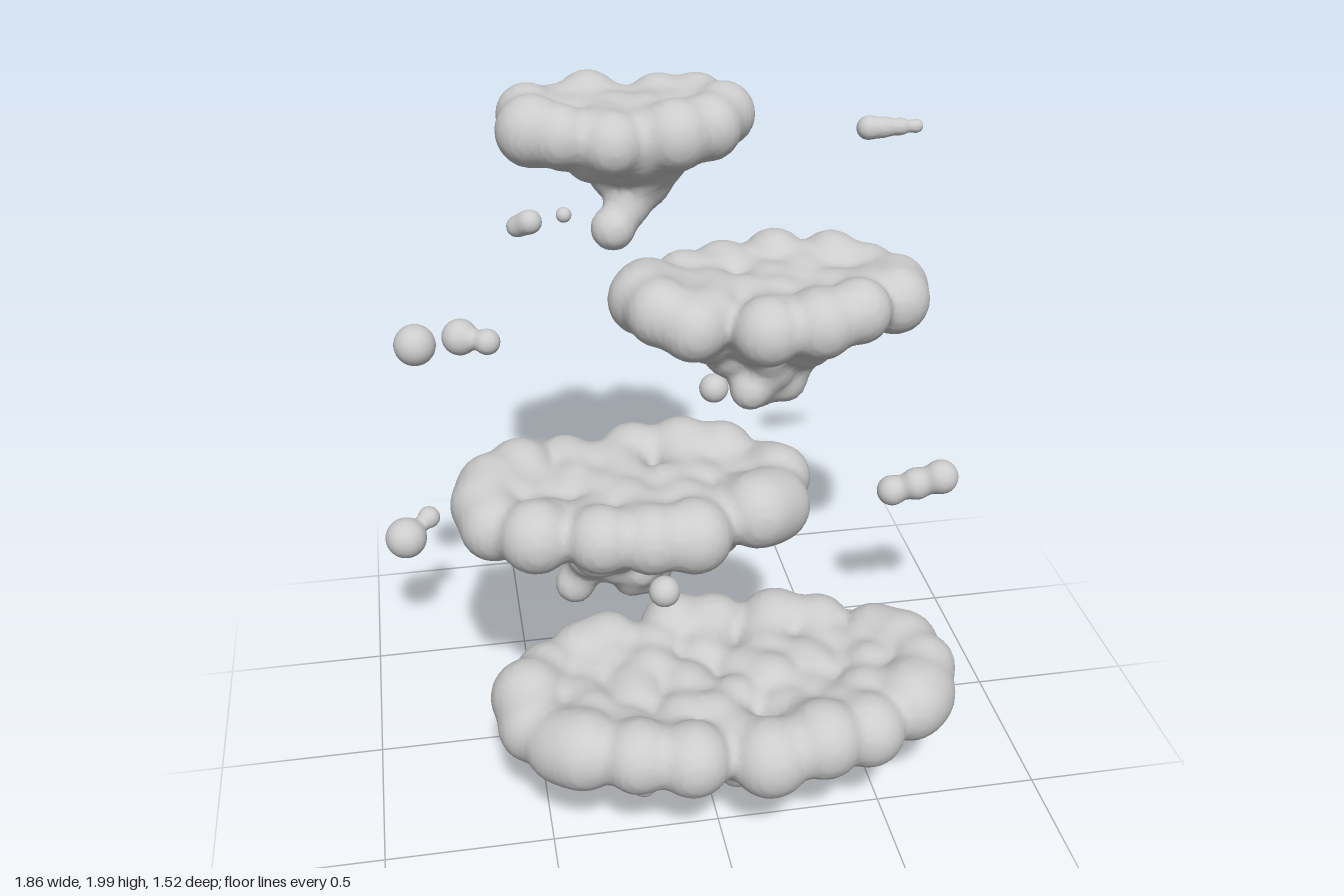
import * as THREE from 'three';

const stone = new THREE.MeshStandardMaterial({ color: 0xcccccc });
stone.name = 'pale grey stone';

// Repeatable wobble in -1..1
const wobble = (n) => {
  const s = Math.sin(n * 127.1 + 3.7) * 43758.5453;
  return 2 * (s - Math.floor(s)) - 1;
};
const mix = (a, b, t) => a.map((v, i) => v + (b[i] - v) * t);

// Smoothly melt balls [x, y, z, radius] into one closed skin (surface nets)
function meltBalls(balls, k, step) {
  const axes = [0, 1, 2];
  const lo = axes.map((a) => Math.min(...balls.map((b) => b[a] - b[3])) - k - 2 * step);
  const hi = axes.map((a) => Math.max(...balls.map((b) => b[a] + b[3])) + k + 2 * step);
  const n = lo.map((v, a) => Math.ceil((hi[a] - v) / step) + 1);
  const stride = [1, n[0], n[0] * n[1]];
  const field = new Float32Array(n[0] * n[1] * n[2]).fill(1);
  const each = (start, fn) => {
    for (let z = start; z < n[2] - 1; z++)
      for (let y = start; y < n[1] - 1; y++)
        for (let x = start; x < n[0] - 1; x++) fn([x, y, z], x + y * stride[1] + z * stride[2]);
  };

  // Smooth-union distance at each grid point
  each(0, (p, i) => {
    const [x, y, z] = p.map((v, a) => lo[a] + v * step);
    let d = 1;
    for (const b of balls) {
      const e = Math.hypot(x - b[0], y - b[1], z - b[2]) - b[3];
      const h = Math.max(k - Math.abs(d - e), 0) / k;
      d = Math.min(d, e) - h * h * k * 0.25;
    }
    field[i] = d;
  });

  // One vertex per cell that the skin crosses
  const positions = [], index = [], cell = new Int32Array(field.length).fill(-1);
  each(0, (p, i) => {
    const sum = [0, 0, 0];
    let hits = 0;
    for (let c = 0; c < 8; c++) {
      const corner = [c & 1, (c >> 1) & 1, c >> 2];
      const from = i + corner[0] + corner[1] * stride[1] + corner[2] * stride[2];
      for (const a of axes) {
        if (corner[a]) continue;
        const f = field[from], g = field[from + stride[a]];
        if ((f < 0) === (g < 0)) continue;
        for (const q of axes) sum[q] += corner[q] + (q === a ? f / (f - g) : 0);
        hits++;
      }
    }
    if (!hits) return;
    cell[i] = positions.length / 3;
    positions.push(...p.map((v, a) => lo[a] + (v + sum[a] / hits) * step));
  });

  // One quad per crossed grid edge
  each(1, (p, i) => {
    for (const a of axes) {
      const inside = field[i] < 0;
      if (inside === (field[i + stride[a]] < 0)) continue;
      const b = stride[(a + 1) % 3], c = stride[(a + 2) % 3];
      const q = [cell[i], cell[i - b], cell[i - b - c], cell[i - c]];
      if (!inside) q.reverse();
      index.push(q[0], q[1], q[2], q[0], q[2], q[3]);
    }
  });

  const geometry = new THREE.BufferGeometry();
  geometry.setAttribute('position', new THREE.Float32BufferAttribute(positions, 3));
  geometry.setIndex(index);
  geometry.computeVertexNormals();
  return geometry;
}

// Oval ring of slightly uneven balls
function ring([cx, cy, cz], rx, rz, r, count, seed, rough) {
  return Array.from({ length: count }, (_, i) => {
    const t = ((i + 0.25 * wobble(seed + i)) / count) * Math.PI * 2;
    return [
      cx + Math.cos(t) * rx, cy + wobble(seed + i * 3 + 1) * rough,
      cz + Math.sin(t) * rz, r * (1 + 0.07 * wobble(seed + i * 5 + 2)),
    ];
  });
}

// Row of balls from one end to the other
const chain = (a, b, count) => Array.from({ length: count }, (_, i) => mix(a, b, i / (count - 1)));

// Island: thick lumpy rim, sunken plateau, underside tapering to a tip
function islandGeometry(centre, halfX, halfZ, r, tip, lumps) {
  const seed = Math.round(centre[1] * 50);
  const rx = halfX - r - 0.008, rz = halfZ - r - 0.008;
  const count = Math.round((Math.PI * (rx + rz)) / 0.135);
  const balls = ring(centre, rx, rz, r, count, seed, 0.017);

  const plateau = [centre[0], centre[1] - 0.015, centre[2]];
  for (const f of [0.74, 0.48, 0.22]) {
    balls.push(...ring(plateau, rx * f, rz * f, r * 0.84, Math.ceil(count * f), seed + f * 50, 0.012));
  }
  for (let j = 0; j < 4; j++) {
    const f = 0.63 * 0.58 ** j, depth = 0.27 + 0.245 * j;
    balls.push(...ring(mix(centre, tip, depth), rx * f, rz * f, 0.082 - 0.009 * j,
      Math.ceil(count * f) + 1, seed + 60 + j, 0.02 - 0.004 * j));
  }
  return meltBalls([...balls, ...lumps], 0.035, 0.0165);
}

export function createModel() {
  const group = new THREE.Group();
  group.name = 'floatingIslands';
  const add = (name, geometry) => {
    const mesh = new THREE.Mesh(geometry, stone);
    mesh.name = name;
    group.add(mesh);
    return mesh;
  };
  const island = (name, ...shape) => add(name, islandGeometry(...shape));
  const pebble = (name, x, y, z, r) => add(name, new THREE.SphereGeometry(r, 24, 16)).position.set(x, y, z);
  const bean = (name, a, b, count) => add(name, meltBalls(chain(a, b, count), 0.03, 0.007));

  // Stacked islands, lowest first, with lumps hanging below
  island('bottomIsland', [0.06, 0.37, 0.325], 0.72, 0.44, 0.112, [0.15, 0.085, 0.35],
    chain([-0.06, 0.055, 0.35, 0.045], [0, 0.12, 0.35, 0.05], 2));
  island('lowerMiddleIsland', [-0.175, 0.9, 0.035], 0.56, 0.365, 0.108, [-0.17, 0.6, 0],
    chain([-0.36, 0.6, 0.02, 0.062], [-0.29, 0.73, 0.02, 0.06], 3));
  island('upperMiddleIsland', [0.288, 1.41, -0.22], 0.497, 0.33, 0.102, [0.28, 1.12, -0.2],
    chain([0.21, 1.14, -0.13, 0.062], [0.34, 1.12, -0.21, 0.06], 2));
  island('topIsland', [-0.115, 1.88, -0.5], 0.41, 0.277, 0.1, [-0.08, 1.66, -0.49],
    chain([-0.16, 1.57, -0.43, 0.068], [-0.05, 1.68, -0.49, 0.055], 3));

  // Loose round pebbles
  pebble('pebbleUnderBottomIsland', -0.205, 0.06, 0.35, 0.046);
  pebble('frontPebble', -0.1, 0.61, 0.13, 0.048);
  pebble('middlePebble', 0.065, 0.65, -0.02, 0.05);
  pebble('pebbleUnderUpperIsland', 0.125, 1.08, -0.27, 0.046);
  pebble('backPebble', -0.6, 0.52, -0.49, 0.06);
  pebble('tinyTopPebble', -0.39, 1.972, 0.44, 0.019);
  pebble('rightPebble', -0.78, 1.4, -0.08, 0.06);

  // Loose long stones
  bean('rightBean', [-0.65, 1.395, -0.12, 0.053], [-0.575, 1.395, -0.075, 0.038], 2);
  bean('backRightBean', [-0.87, 0.5, -0.48, 0.068], [-0.79, 0.535, -0.54, 0.037], 2);
  bean('leftBean', [0.72, 0.66, -0.24, 0.05], [0.87, 0.72, -0.2, 0.057], 3);
  bean('topFrontBean', [-0.505, 1.95, 0.44, 0.026], [-0.475, 1.97, 0.465, 0.03], 2);
  bean('topLeftBean', [0.607, 1.86, -0.37, 0.036], [0.755, 1.857, -0.37, 0.021], 4);

  return group;
}
